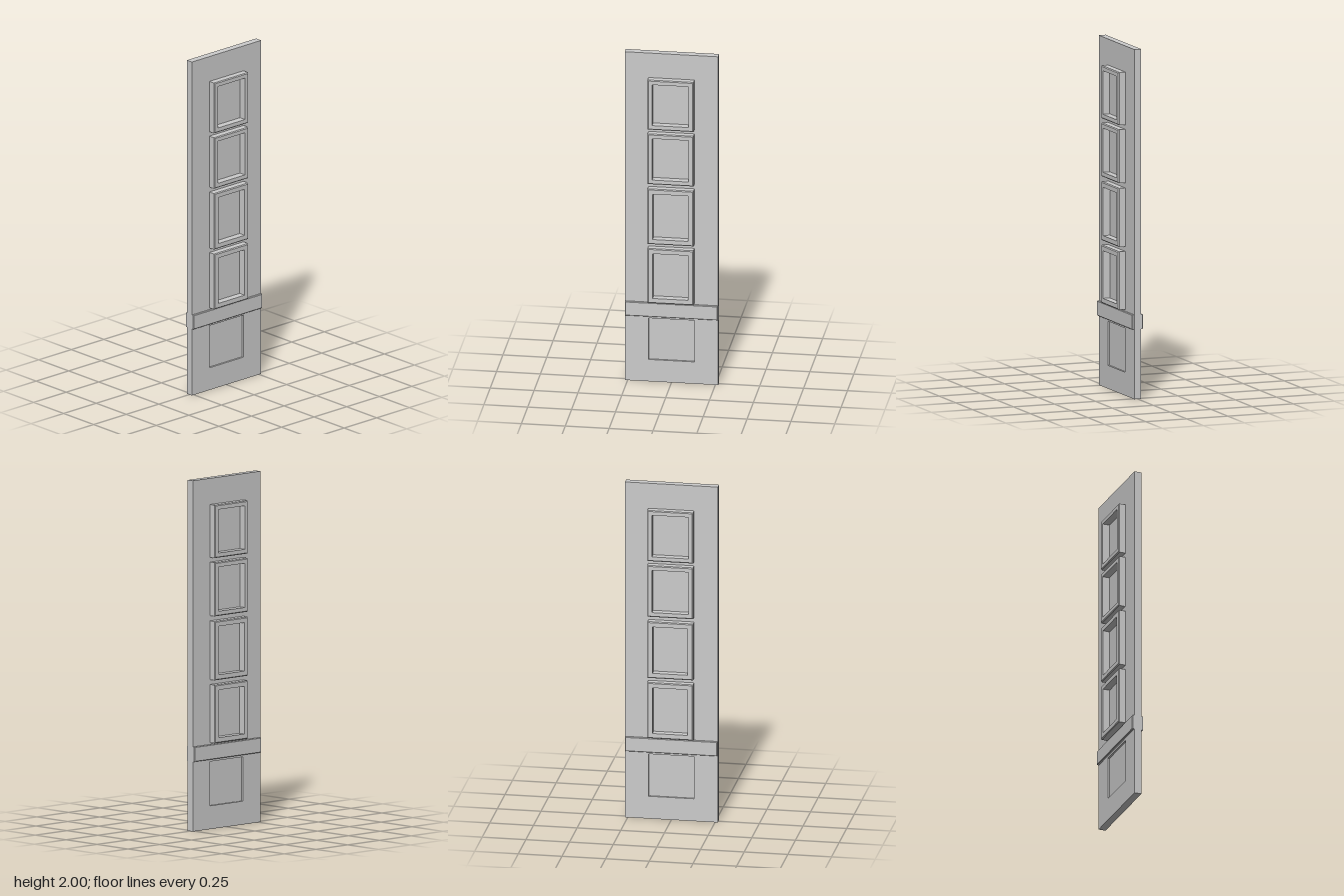
import * as THREE from 'three';

const PANEL_Z = 0.021; // half thickness of the slab
const material = new THREE.MeshStandardMaterial({ color: 0xcccccc, flatShading: true });

function rect(target, x, y0, y1) {
  target.moveTo(-x, y0);
  target.lineTo(x, y0);
  target.lineTo(x, y1);
  target.lineTo(-x, y1);
  target.closePath();
  return target;
}

function addMesh(parent, name, geometry) {
  const mesh = new THREE.Mesh(geometry, material);
  mesh.name = name;
  parent.add(mesh);
  return mesh;
}

// Rectangular ring whose outer front edge is chamfered
function frameGeometry(width, height, border, depth, bevel) {
  const x = width / 2, y = height / 2;
  const shape = rect(new THREE.Shape(), x, -y, y);
  shape.holes.push(rect(new THREE.Path(), x - border, -y + border, y - border));
  const geometry = new THREE.ExtrudeGeometry(shape, { depth, steps: 2, bevelEnabled: false });
  const p = geometry.attributes.position;
  for (let i = 0; i < p.count; i++) {
    const z = p.getZ(i);
    if (z > depth * 0.75) {
      // front layer: pull the outer outline in
      if (Math.abs(p.getX(i)) > x - border / 2) {
        p.setX(i, Math.sign(p.getX(i)) * (x - bevel));
        p.setY(i, Math.sign(p.getY(i)) * (y - bevel));
      }
    } else if (z > depth * 0.25) {
      p.setZ(i, depth - bevel); // middle layer: start of the chamfer
    }
  }
  geometry.computeVertexNormals();
  return geometry;
}

export function createModel() {
  const model = new THREE.Group();
  model.name = 'panelledSlab';

  // Slab with a window for the sunken lower panel
  const slab = rect(new THREE.Shape(), 0.266, 0, 2);
  slab.holes.push(rect(new THREE.Path(), 0.13, 0.133, 0.385));
  const slabGeometry = new THREE.ExtrudeGeometry(slab, { depth: PANEL_Z * 2, bevelEnabled: false });
  slabGeometry.translate(0, 0, -PANEL_Z);
  addMesh(model, 'slab', slabGeometry);

  // Sunken panel, recessed on both faces
  addMesh(model, 'sunkenPanel', new THREE.BoxGeometry(0.26, 0.252, 0.02)).position.y = 0.259;

  // Band wrapped around the slab, with slightly eased edges
  const bevel = 0.003;
  const band = rect(new THREE.Shape(), 0.264 - bevel, 0.398 + bevel, 0.483 - bevel);
  const bandGeometry = new THREE.ExtrudeGeometry(band, {
    depth: 0.06, bevelSize: bevel, bevelThickness: bevel, bevelSegments: 1,
  });
  bandGeometry.translate(0, 0, -0.03);
  addMesh(model, 'band', bandGeometry);

  // Raised frames on the front and the back: [bottom, top]
  const spans = [[0.493, 0.825], [0.852, 1.188], [1.217, 1.523], [1.549, 1.851]];
  for (const [side, turn] of [['front', 0], ['back', Math.PI]]) {
    const frames = new THREE.Group();
    frames.name = side + 'Frames';
    frames.rotation.y = turn;
    spans.forEach(([y0, y1], i) => {
      const frame = addMesh(frames, side + 'Frame' + (i + 1),
        frameGeometry(0.262, y1 - y0, 0.027 + (i < 2 ? 0.003 : 0), 0.042, 0.005));
      frame.position.set(0, (y0 + y1) / 2, PANEL_Z - 0.0005);
    });
    model.add(frames);
  }
  return model;
}
